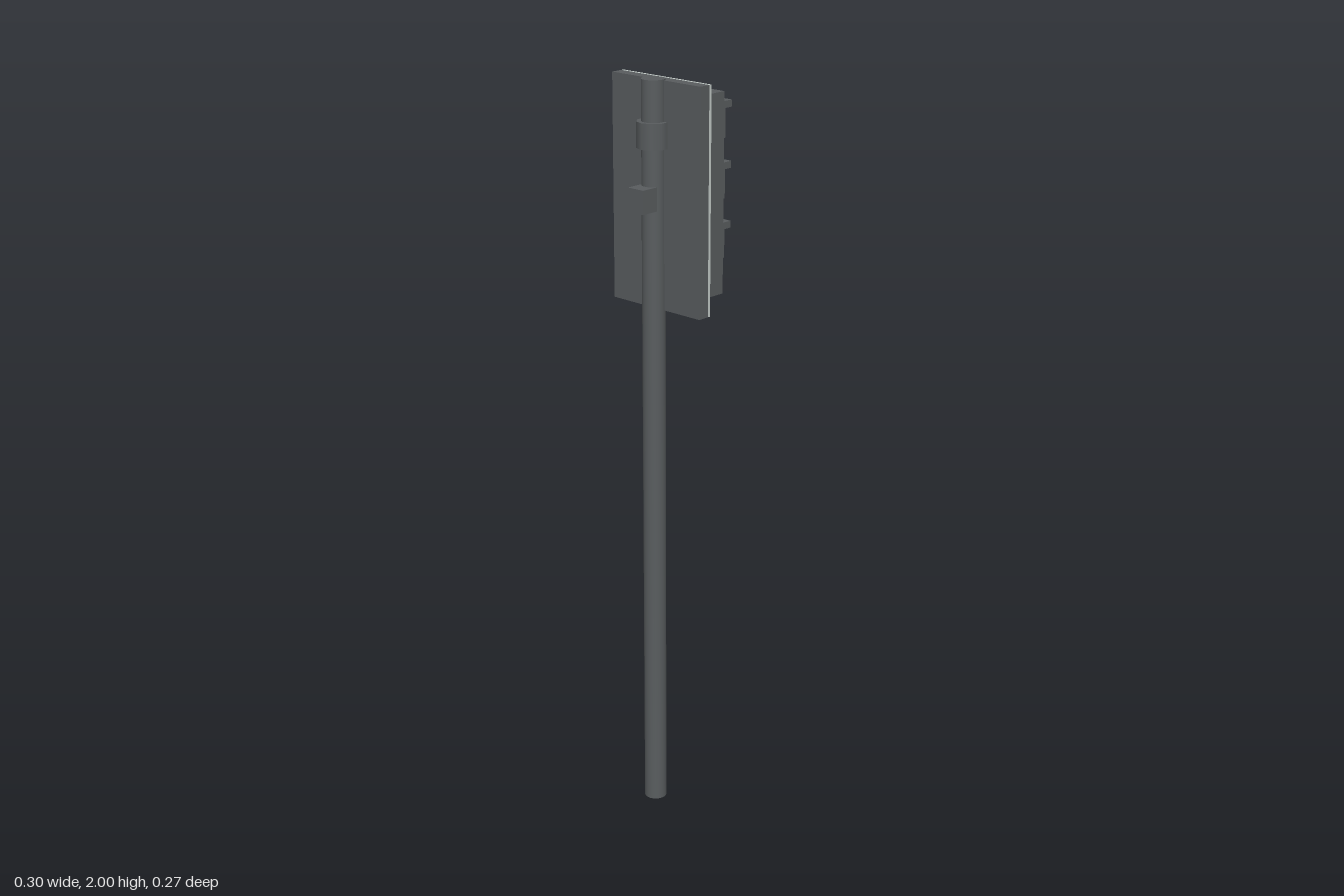
import * as THREE from 'three';

const mat = (name, color) => {
  const m = new THREE.MeshStandardMaterial({ color });
  m.name = name;
  return m;
};

export function createModel() {
  const root = new THREE.Group();
  root.name = 'trafficLight';
  const dark = mat('dark grey metal', 0x595d5f);
  const pale = mat('pale trim', 0xc4ccc8);
  const lensMats = [mat('red lens', 0xd6424a), mat('amber lens', 0xc9a033), mat('green lens', 0x3fbf78)];

  const add = (parent, name, geo, material, x = 0, y = 0, z = 0) => {
    const m = new THREE.Mesh(geo, material);
    m.name = name;
    m.position.set(x, y, z);
    parent.add(m);
    return m;
  };
  // Box given by its width and its y and z ranges, centred on x = 0
  const box = (parent, name, material, w, y0, y1, z0, z1) =>
    add(parent, name, new THREE.BoxGeometry(w, y1 - y0, z1 - z0), material, 0, (y0 + y1) / 2, (z0 + z1) / 2);

  // Pole with its clamp and junction box
  add(root, 'pole', new THREE.CylinderGeometry(0.03, 0.03, 2, 32), dark, 0, 1, 0.07);
  const clampGeo = new THREE.CylinderGeometry(0.043, 0.043, 0.066, 10);
  add(root, 'clamp', clampGeo, dark, 0, 1.863, 0.07);
  box(root, 'junctionBox', dark, 0.052, 1.675, 1.736, 0.07, 0.134);

  // Backing board with its pale face, and the lamp housing
  box(root, 'backBoard', dark, 0.298, 1.415, 1.997, 0.03, 0.062);
  box(root, 'paleBoardFace', pale, 0.298, 1.415, 1.997, 0.022, 0.03);
  box(root, 'housing', dark, 0.227, 1.45, 1.965, -0.064, 0.024);

  // Stepped side wall of a visor, drawn as depth against height
  const wallShape = new THREE.Shape([
    [0, -0.04], [0.036, -0.04], [0.036, -0.026], [0.051, -0.026], [0.051, 0.05], [0, 0.05],
  ].map(([d, h]) => new THREE.Vector2(d, h)));
  const wallGeo = new THREE.ExtrudeGeometry(wallShape, { depth: 0.01, bevelEnabled: false });
  wallGeo.rotateY(Math.PI / 2);
  const lensGeo = new THREE.CylinderGeometry(0.06, 0.06, 0.02, 32);
  lensGeo.rotateX(Math.PI / 2);

  // Three lamps, each with a lens under a visor
  lensMats.forEach((lensMat, i) => {
    const lamp = new THREE.Group();
    lamp.name = ['redLamp', 'amberLamp', 'greenLamp'][i];
    lamp.position.set(0, 1.862 - i * 0.155, -0.064);
    add(lamp, 'lens', lensGeo, lensMat, 0, 0, -0.01);
    box(lamp, 'visorTop', dark, 0.146, 0.049, 0.067, -0.073, 0);
    add(lamp, 'visorLeftWall', wallGeo, dark, 0.062);
    add(lamp, 'visorRightWall', wallGeo, dark, -0.072);
    root.add(lamp);
  });
  return root;
}
